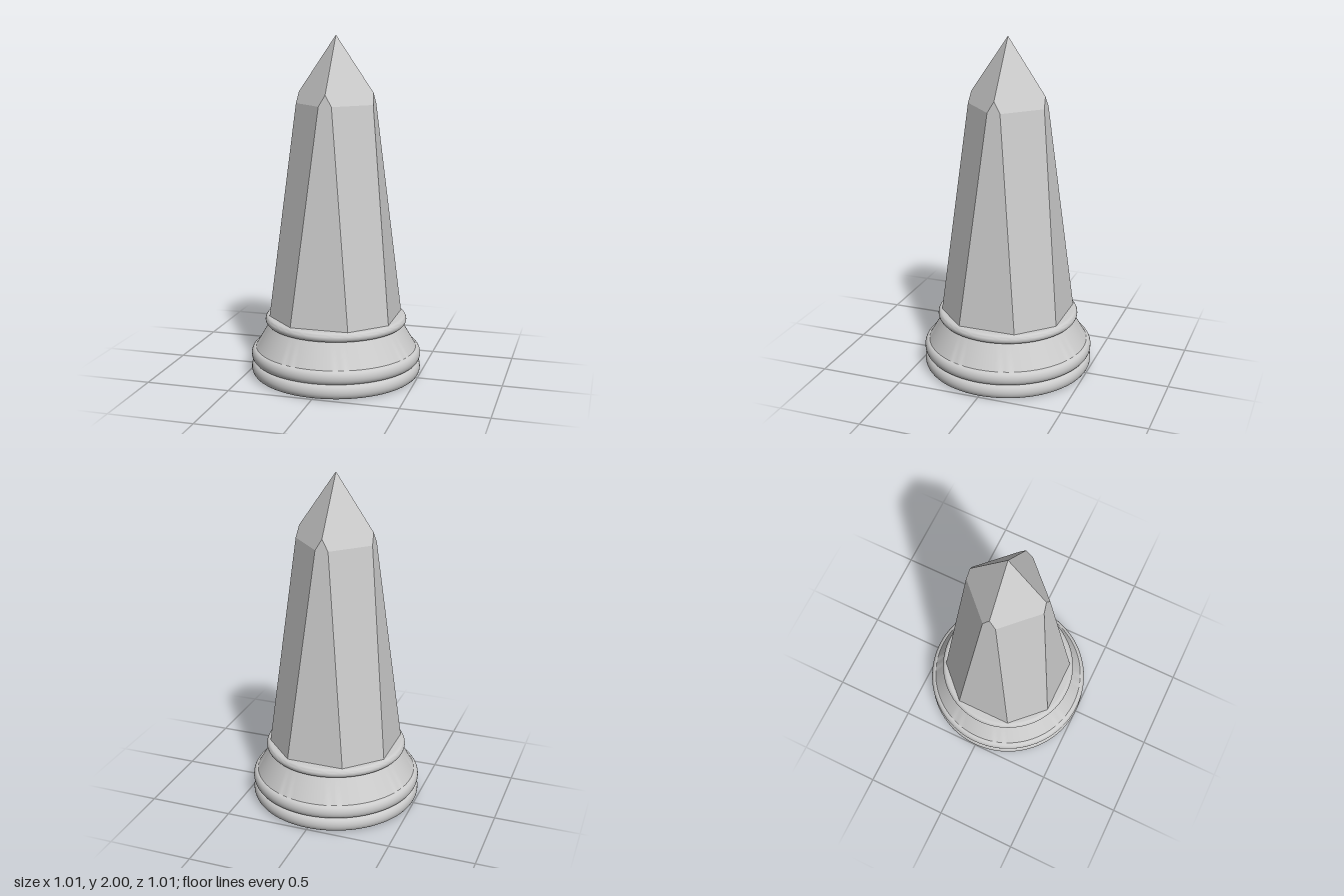
import * as THREE from 'three';
import { toCreasedNormals } from 'three/addons/utils/BufferGeometryUtils.js';
import { ConvexGeometry } from 'three/addons/geometries/ConvexGeometry.js';

const material = new THREE.MeshStandardMaterial({ color: 0xcccccc });
const shaftMaterial = new THREE.MeshStandardMaterial({ color: 0xcccccc, flatShading: true });

// Rounded moulding edge, from bottom to top
function bead(inner, outer, y0, y1, steps = 10) {
  const points = [];
  for (let i = 0; i <= steps; i++) {
    const a = -Math.PI / 2 + (Math.PI * i) / steps;
    points.push(new THREE.Vector2(
      inner + (outer - inner) * Math.cos(a),
      (y0 + y1) / 2 + ((y1 - y0) / 2) * Math.sin(a)
    ));
  }
  return points;
}

function createPlinth() {
  const profile = [
    new THREE.Vector2(0, 0),
    ...bead(0.475, 0.505, 0, 0.085),    // lower ring
    ...bead(0.478, 0.505, 0.085, 0.165), // second ring
    ...bead(0.395, 0.42, 0.305, 0.36),  // collar above the sloping band
    new THREE.Vector2(0, 0.36),
  ];
  const geometry = toCreasedNormals(new THREE.LatheGeometry(profile, 96), 0.6);
  const mesh = new THREE.Mesh(geometry, material);
  mesh.name = 'plinth';
  return mesh;
}

function createShaft() {
  // Tapering eight-sided shaft cut by a four-sided point
  const points = [new THREE.Vector3(0, 2, 0)];
  const up = new THREE.Vector3(0, 1, 0);
  for (let i = 0; i < 4; i++) {
    const side = [
      [-0.17, 0.36, 0.36], [0.17, 0.36, 0.36],
      [-0.038, 1.61, 0.2298], [0.038, 1.61, 0.2298],
      [0, 1.675, 0.223],
    ];
    for (const p of side) {
      points.push(new THREE.Vector3(...p).applyAxisAngle(up, (i * Math.PI) / 2));
    }
  }
  const mesh = new THREE.Mesh(new ConvexGeometry(points), shaftMaterial);
  mesh.name = 'obeliskShaft';
  return mesh;
}

export function createModel() {
  const group = new THREE.Group();
  group.name = 'obelisk';
  group.add(createPlinth(), createShaft());
  return group;
}
